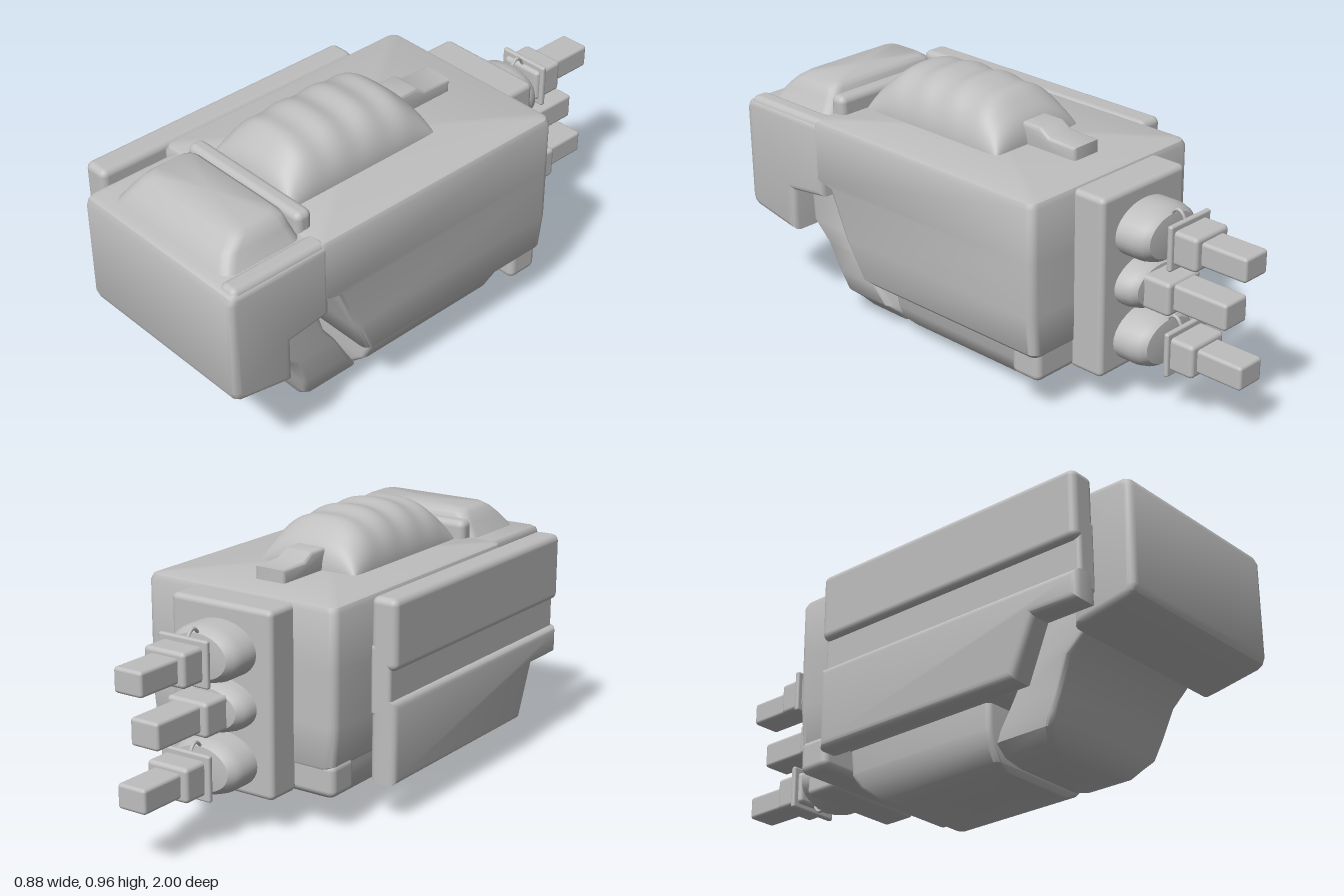
import * as THREE from 'three';
import { toCreasedNormals } from 'three/addons/utils/BufferGeometryUtils.js';
import { RoundedBoxGeometry } from 'three/addons/geometries/RoundedBoxGeometry.js';

const grey = new THREE.MeshStandardMaterial({ color: 0xbebebe });
grey.name = 'plain grey';

function add(parent, name, geometry) {
  const mesh = new THREE.Mesh(geometry, grey);
  mesh.name = name;
  parent.add(mesh);
  return mesh;
}

// Rounded box given by its limits on each axis
function block(parent, name, [x0, x1], [y0, y1], [z0, z1], r = 0.02) {
  const geo = new RoundedBoxGeometry(x1 - x0, y1 - y0, z1 - z0, 3, r);
  geo.translate((x0 + x1) / 2, (y0 + y1) / 2, (z0 + z1) / 2);
  return add(parent, name, geo);
}

// Side outline of [z, y] points extruded across x with soft edges
function sideProfile(parent, name, points, x0, x1, bevel) {
  const shape = new THREE.Shape(points.map(([z, y]) => new THREE.Vector2(z, y)));
  const geo = new THREE.ExtrudeGeometry(shape, {
    depth: x1 - x0 - 2 * bevel, bevelThickness: bevel, bevelSize: bevel,
    bevelOffset: -bevel, bevelSegments: 3,
  });
  geo.translate(0, 0, -(x1 - x0 - 2 * bevel) / 2);
  geo.rotateY(-Math.PI / 2);
  geo.translate((x0 + x1) / 2, 0, 0);
  return add(parent, name, toCreasedNormals(geo, 0.6));
}

// Rounded rectangles [y, x0, x1, z0, z1] joined from the bottom up
function stack(parent, name, rows, r = 0.03) {
  const pos = [], index = [], steps = 4, n = 4 * (steps + 1);
  for (const [y, x0, x1, z0, z1] of rows) {
    for (let j = 0; j < n; j++) {
      const q = Math.floor(j / (steps + 1));
      const a = (q + (j % (steps + 1)) / steps) * Math.PI / 2;
      const cx = q === 0 || q === 3 ? x1 - r : x0 + r;
      const cz = q < 2 ? z1 - r : z0 + r;
      pos.push(cx + r * Math.cos(a), y, cz + r * Math.sin(a));
    }
  }
  for (let i = 0; i < rows.length - 1; i++) {
    for (let j = 0; j < n; j++) {
      const a = i * n + j, b = i * n + (j + 1) % n;
      index.push(a, a + n, b, b, a + n, b + n);
    }
  }
  const last = rows.length - 1;
  for (const i of [0, last]) {
    const [y, x0, x1, z0, z1] = rows[i], centre = pos.length / 3;
    pos.push((x0 + x1) / 2, y, (z0 + z1) / 2);
    for (let j = 0; j < n; j++) {
      const a = i * n + j, b = i * n + (j + 1) % n;
      if (i === 0) index.push(centre, a, b);
      else index.push(centre, b, a);
    }
  }
  const geo = new THREE.BufferGeometry();
  geo.setAttribute('position', new THREE.Float32BufferAttribute(pos, 3));
  geo.setIndex(index);
  return add(parent, name, toCreasedNormals(geo, 0.7));
}

// Domed cover with shallow ridges running across it
function ridgedDome(parent) {
  const geo = new THREE.PlaneGeometry(2, 2, 32, 72).rotateX(-Math.PI / 2);
  const p = geo.attributes.position;
  for (let i = 0; i < p.count; i++) {
    const u = Math.sin(p.getX(i) * Math.PI / 2), v = Math.sin(p.getZ(i) * Math.PI / 2);
    const rise = Math.sqrt(Math.max(0, 1 - Math.abs(u) ** 2.6)) * Math.sqrt(Math.max(0, 1 - Math.abs(v) ** 4));
    const z = 0.26 + 0.325 * v;
    const ridge = 0.006 * Math.cos((z - 0.33) * Math.PI * 2 / 0.14);
    p.setXYZ(i, 0.025 + 0.205 * u, 0.775 + (0.182 + ridge) * rise, z);
  }
  geo.computeVertexNormals();
  add(parent, 'ridgedDome', geo);
}

// Rear connector: oval bulb, stepped collar and square prong
function connector(parent, y, outer) {
  const g = new THREE.Group();
  g.name = 'rearConnector';
  g.position.set(0.025, y, 0);
  parent.add(g);
  const end = outer ? 0.67 : 0.625;
  const profile = [[0, 0.5], [0.145, 0.5], [0.145, end - 0.06], [0.135, end - 0.03], [0.115, end - 0.01], [0, end]];
  const bulb = new THREE.LatheGeometry(profile.map(([r, d]) => new THREE.Vector2(r, d)), 32);
  bulb.rotateX(-Math.PI / 2);
  bulb.scale(1, outer ? 0.68 : 0.62, 1);
  add(g, 'bulb', toCreasedNormals(bulb, 0.6));
  if (outer) {
    const hoop = new THREE.TorusGeometry(0.086, 0.007, 8, 32).rotateY(Math.PI / 2);
    hoop.scale(1, 1, 0.45).translate(0, 0.012, -0.68);
    add(g, 'hoop', hoop);
    block(g, 'flange', [-0.1, 0.1], [-0.075, 0.085], [-0.735, -0.715], 0.008);
    block(g, 'collar', [-0.08, 0.085], [-0.055, 0.065], [-0.825, -0.7], 0.015);
    block(g, 'prong', [-0.055, 0.058], [-0.04, 0.046], [-1, -0.78], 0.012);
  } else {
    block(g, 'collar', [-0.08, 0.085], [-0.06, 0.06], [-0.72, -0.58], 0.015);
    block(g, 'prong', [-0.055, 0.058], [-0.045, 0.05], [-0.93, -0.66], 0.012);
  }
}

export function createModel() {
  const model = new THREE.Group();
  model.name = 'device';

  // Main housing with a raked lower front
  stack(model, 'mainBody', [
    [0.22, -0.31, 0.4, -0.41, 0.4], [0.24, -0.33, 0.42, -0.42, 0.43],
    [0.38, -0.345, 0.435, -0.42, 0.495], [0.55, -0.345, 0.435, -0.42, 0.57],
    [0.57, -0.345, 0.435, -0.42, 0.645], [0.765, -0.345, 0.435, -0.42, 0.645],
    [0.783, -0.337, 0.427, -0.412, 0.637], [0.79, -0.32, 0.41, -0.395, 0.62],
  ]);
  block(model, 'rearLip', [-0.335, 0.4], [0.13, 0.25], [-0.415, -0.29], 0.025);

  // Front block
  sideProfile(model, 'frontBlock', [
    [0.6, 0.5], [0.76, 0.48], [0.76, 0.32], [0.8, 0.325], [0.97, 0.357], [0.99, 0.37],
    [1, 0.395], [1, 0.745], [0.99, 0.768], [0.97, 0.778], [0.6, 0.778],
  ], -0.298, 0.437, 0.025);
  stack(model, 'frontCap', [
    [0.76, -0.225, 0.365, 0.63, 0.95], [0.785, -0.21, 0.35, 0.64, 0.94],
    [0.825, -0.185, 0.325, 0.65, 0.91], [0.86, -0.165, 0.31, 0.66, 0.87],
    [0.875, -0.145, 0.285, 0.68, 0.85],
  ], 0.04);
  block(model, 'topCollar', [-0.21, 0.34], [0.75, 0.855], [0.58, 0.645], 0.025);
  block(model, 'frontRail', [0.355, 0.43], [0.73, 0.79], [0.6, 0.98], 0.025);

  // Top dome and its rear tab
  ridgedDome(model);
  sideProfile(model, 'rearTab', [
    [-0.28, 0.77], [0, 0.77], [0, 0.865], [-0.12, 0.865], [-0.16, 0.84], [-0.28, 0.835],
  ], -0.04, 0.08, 0.012);

  // Curved front guard
  stack(model, 'frontGuard', [
    [0.005, -0.12, 0.19, 0.38, 0.55], [0.025, -0.18, 0.25, 0.37, 0.575],
    [0.06, -0.22, 0.28, 0.37, 0.6], [0.1, -0.225, 0.325, 0.39, 0.615],
    [0.17, -0.225, 0.34, 0.435, 0.64], [0.28, -0.225, 0.355, 0.5, 0.68],
    [0.35, -0.225, 0.355, 0.55, 0.755], [0.48, -0.225, 0.355, 0.59, 0.76],
    [0.5, -0.225, 0.355, 0.59, 0.76],
  ], 0.02);

  // Box beneath the housing
  stack(model, 'lowerBox', [
    [0.005, -0.12, 0.2, -0.15, 0.33], [0.025, -0.17, 0.25, -0.19, 0.34],
    [0.08, -0.2, 0.31, -0.26, 0.34], [0.13, -0.21, 0.33, -0.29, 0.34],
    [0.24, -0.21, 0.35, -0.3, 0.34],
  ], 0.02);

  // Grooved plate along the right side
  const plate = new THREE.Group();
  plate.name = 'sidePlate';
  model.add(plate);
  block(plate, 'upperStrip', [-0.443, -0.342], [0.535, 0.783], [-0.215, 0.89], 0.025);
  block(plate, 'grooveStrip', [-0.42, -0.342], [0.37, 0.62], [-0.215, 0.89], 0.015);
  sideProfile(plate, 'lowerStrip', [
    [-0.215, 0.135], [0.63, 0.135], [0.71, 0.325], [0.89, 0.325], [0.89, 0.43], [-0.215, 0.43],
  ], -0.443, -0.342, 0.025);

  // Rear mounting plate and connectors
  block(model, 'rearPlate', [-0.18, 0.232], [0.128, 0.778], [-0.54, -0.4], 0.02);
  [[0.625, true], [0.435, false], [0.24, true]].forEach(([y, outer]) => connector(model, y, outer));

  return model;
}
